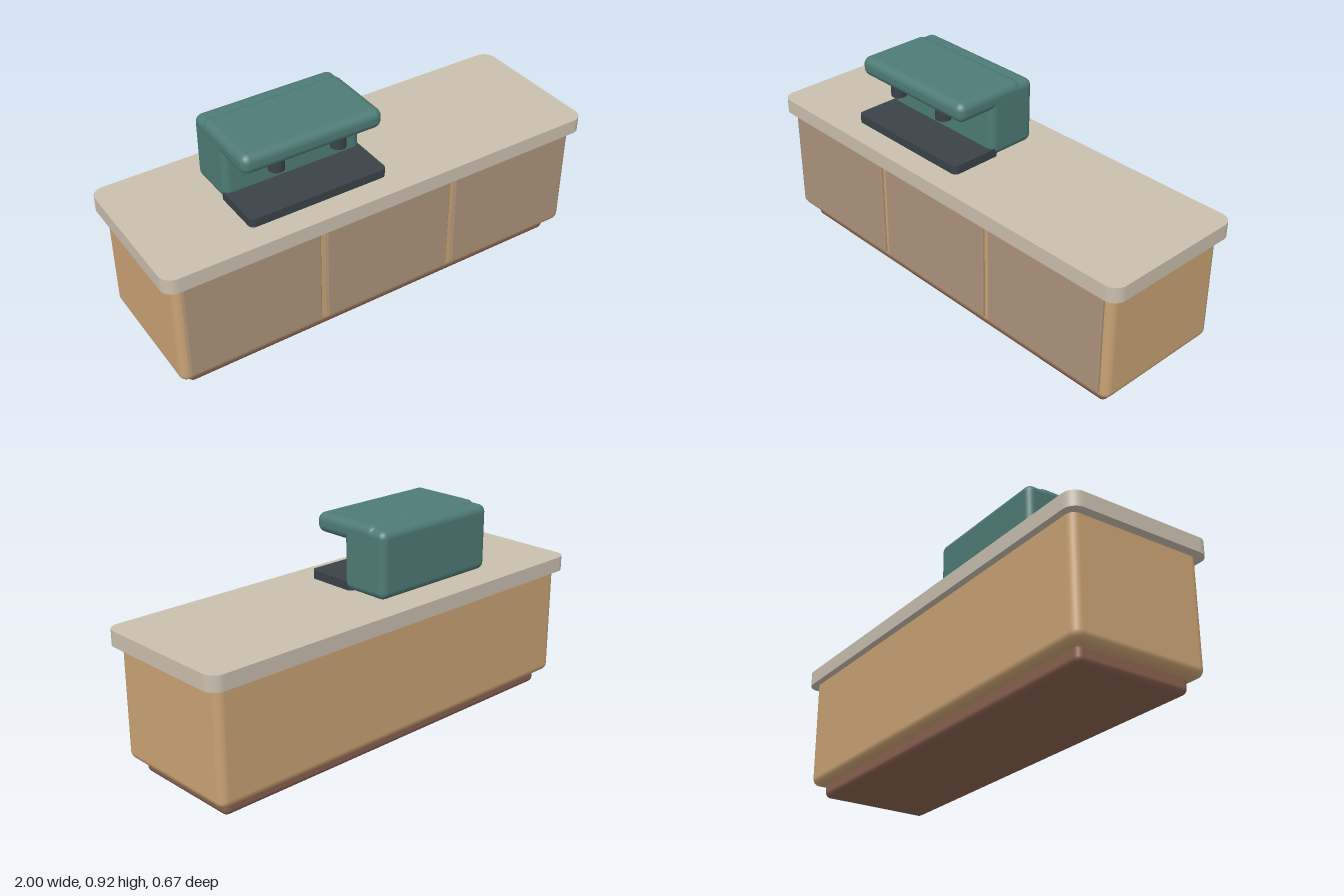
import * as THREE from 'three';
import { RoundedBoxGeometry } from 'three/addons/geometries/RoundedBoxGeometry.js';

const material = (name, color) => {
  const m = new THREE.MeshStandardMaterial({ color });
  m.name = name;
  return m;
};

export function createModel() {
  const group = new THREE.Group();
  const wood = material('wood', 0xc9a374);
  const doorBrown = material('door brown', 0xab937b);
  const plinthBrown = material('plinth brown', 0x88614f);
  const stone = material('stone', 0xc9bfae);
  const teal = material('teal enamel', 0x4e7b76);
  const dark = material('dark metal', 0x3a4248);

  const add = (name, geometry, mat) => {
    const mesh = new THREE.Mesh(geometry, mat);
    mesh.name = name;
    group.add(mesh);
    return mesh;
  };

  // Box rounded on every edge, given by its limits
  const roundedBox = (name, [x0, x1], [y0, y1], [z0, z1], r, mat) =>
    add(name, new RoundedBoxGeometry(x1 - x0, y1 - y0, z1 - z0, 4, r), mat)
      .position.set((x0 + x1) / 2, (y0 + y1) / 2, (z0 + z1) / 2);

  // Flat slab with rounded corners in plan and sharp top and bottom edges
  const slab = (name, [x0, x1], [y0, y1], [z0, z1], r, mat) => {
    const w = (x1 - x0) / 2, d = (z1 - z0) / 2;
    const s = new THREE.Shape();
    s.absarc(w - r, d - r, r, 0, Math.PI / 2);
    s.absarc(r - w, d - r, r, Math.PI / 2, Math.PI);
    s.absarc(r - w, r - d, r, Math.PI, Math.PI * 1.5);
    s.absarc(w - r, r - d, r, Math.PI * 1.5, Math.PI * 2);
    const g = new THREE.ExtrudeGeometry(s, { depth: y1 - y0, bevelEnabled: false, curveSegments: 6 });
    g.rotateX(-Math.PI / 2);
    add(name, g, mat).position.set((x0 + x1) / 2, y0, (z0 + z1) / 2);
  };

  // Counter
  roundedBox('plinth', [-0.91, 0.91], [0, 0.09], [-0.257, 0.257], 0.025, plinthBrown);
  roundedBox('cabinet', [-0.96, 0.96], [0.06, 0.6], [-0.303, 0.303], 0.035, wood);
  slab('countertop', [-1, 1], [0.552, 0.618], [-0.333, 0.333], 0.055, stone);
  for (const x of [-0.627, 0, 0.627]) {
    roundedBox('door', [x - 0.3, x + 0.3], [0.098, 0.54], [0.285, 0.315], 0.006, doorBrown);
  }

  // Coffee machine
  const width = [-0.585, 0.045];
  roundedBox('machineBody', width, [0.618, 0.908], [-0.207, 0.026], 0.033, teal);
  roundedBox('machineHead', width, [0.83, 0.917], [-0.15, 0.193], 0.036, teal);
  slab('dripTray', [-0.583, 0.043], [0.618, 0.656], [-0.018, 0.225], 0.025, dark);
  for (const x of [-0.412, -0.13]) {
    add('spout', new THREE.CylinderGeometry(0.033, 0.033, 0.07, 24), dark)
      .position.set(x, 0.813, 0.133);
  }

  return group;
}
